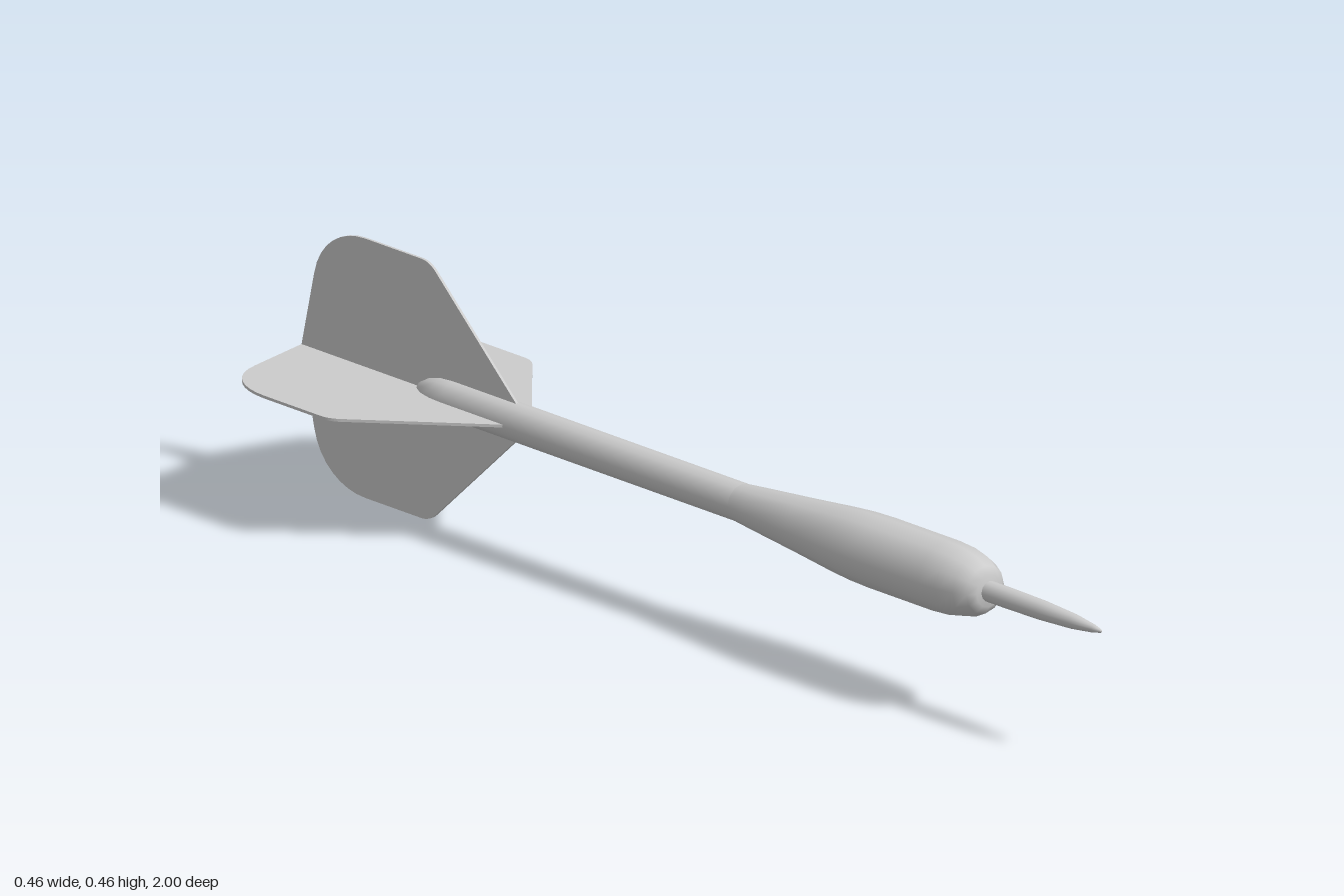
import * as THREE from 'three';

const AXIS_Y = 0.229;
const SIDES = 12;

export function createModel() {
  const model = new THREE.Group();
  const material = new THREE.MeshStandardMaterial({ color: 0xcccccc });

  // Turned part along z; points are [radius, z] from back to front
  const turned = (name, points) => {
    const profile = points.map(([r, z]) => new THREE.Vector2(r, z));
    const geometry = new THREE.LatheGeometry(profile, SIDES).rotateX(Math.PI / 2);
    const mesh = new THREE.Mesh(geometry, material);
    mesh.name = name;
    mesh.position.y = AXIS_Y;
    model.add(mesh);
  };

  // Shaft with a pointed, rounded tail
  turned('shaft', [
    [0, -0.712], [0.012, -0.702], [0.024, -0.68], [0.031, -0.65], [0.033, -0.62], [0.033, 0.1],
  ]);

  // Weighted barrel that swells out of the shaft and rounds off at the nose
  turned('barrel', [
    [0.033, 0.1], [0.037, 0.14], [0.048, 0.26], [0.057, 0.35], [0.061, 0.4], [0.0625, 0.45],
    [0.0625, 0.61], [0.06, 0.65], [0.053, 0.685], [0.042, 0.708], [0.028, 0.718], [0, 0.72],
  ]);

  // Slim needle point
  turned('point', [
    [0.018, 0.7], [0.018, 0.76], [0.017, 0.85], [0.013, 0.93], [0.007, 0.98], [0.003, 0.997], [0, 1],
  ]);

  // One flight: shape x is distance from the axis, shape y is z
  const outline = new THREE.Shape();
  outline.moveTo(0, -0.46);
  outline.lineTo(0.03, -0.46);
  outline.lineTo(0.21, -0.66);
  outline.quadraticCurveTo(0.228, -0.678, 0.228, -0.7);
  outline.lineTo(0.228, -0.84);
  outline.bezierCurveTo(0.228, -0.9, 0.195, -0.955, 0.135, -0.968);
  outline.lineTo(0, -1);
  outline.closePath();
  const thickness = 0.005;
  const flightGeometry = new THREE.ExtrudeGeometry(outline, {
    depth: thickness, bevelEnabled: false, curveSegments: 8,
  }).translate(0, 0, -thickness / 2).rotateX(Math.PI / 2);

  // Four flights in a cross around the tail
  ['leftFlight', 'topFlight', 'rightFlight', 'bottomFlight'].forEach((name, i) => {
    const flight = new THREE.Mesh(flightGeometry, material);
    flight.name = name;
    flight.position.y = AXIS_Y;
    flight.rotation.z = i * Math.PI / 2;
    model.add(flight);
  });

  return model;
}
